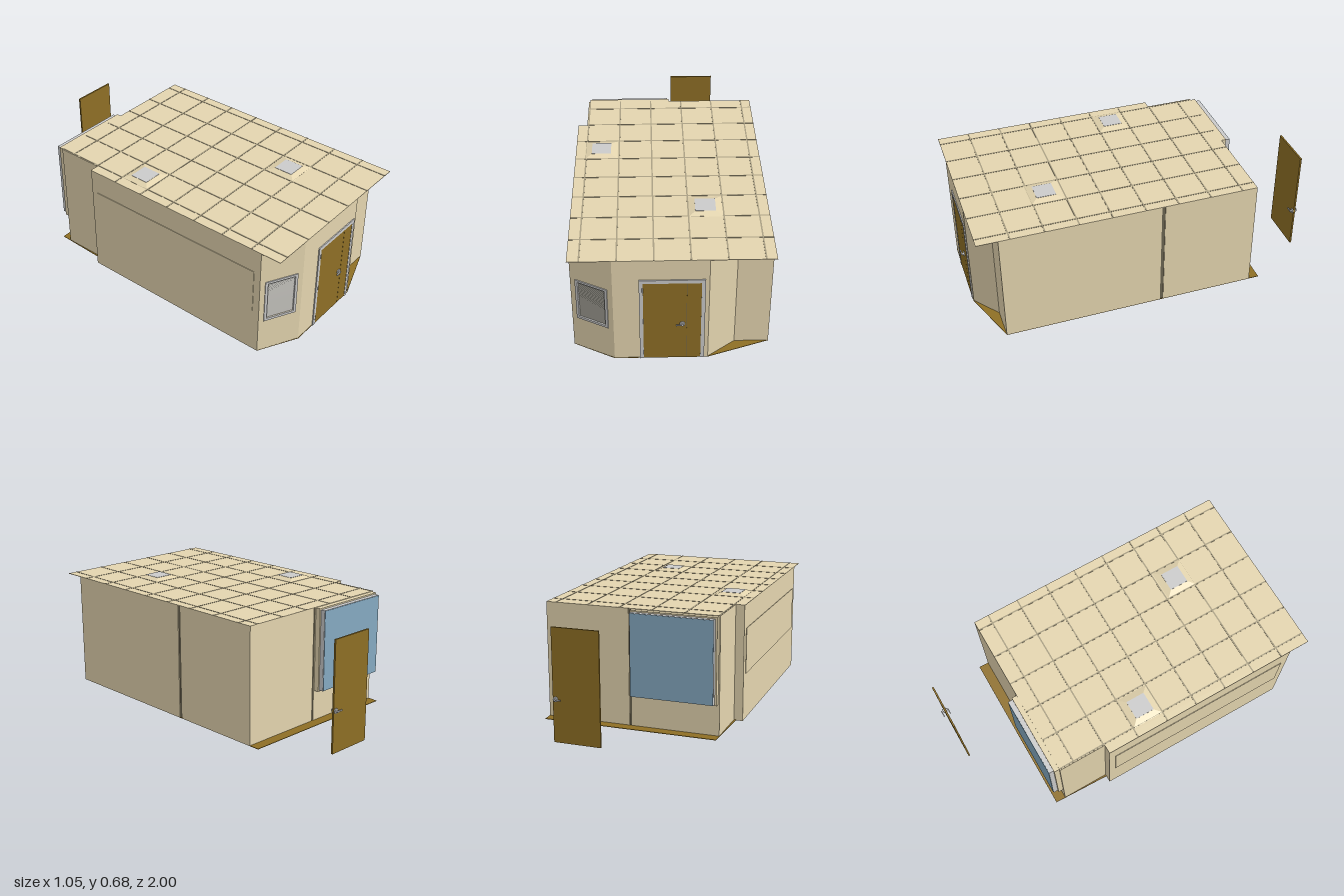
import * as THREE from 'three';

const mat = (color) => new THREE.MeshStandardMaterial({ color, side: THREE.DoubleSide });
const GREY = mat(0xcccccc), BEIGE = mat(0xe4d5af), BROWN = mat(0x8e6f25);
const BLUE = mat(0x85aac2), SEAM = mat(0xaaa084), SLAT = mat(0x74726a), DARK = mat(0x6b6450);
const H = 0.66;

function add(parent, name, geometry, material, x = 0, y = 0, z = 0) {
  const m = new THREE.Mesh(geometry, material);
  m.name = name;
  m.position.set(x, y, z);
  parent.add(m);
  return m;
}

// Box given by its low and high corners
function block(parent, name, material, [x0, y0, z0], [x1, y1, z1]) {
  return add(parent, name, new THREE.BoxGeometry(x1 - x0, y1 - y0, z1 - z0), material,
    (x0 + x1) / 2, (y0 + y1) / 2, (z0 + z1) / 2);
}

const rect = (C, x0, y0, x1, y1) => {
  const s = new C();
  s.moveTo(x0, y0);
  s.lineTo(x1, y0);
  s.lineTo(x1, y1);
  s.lineTo(x0, y1);
  s.closePath();
  return s;
};

// Rectangular plate with an optional rectangular hole
function plate(outer, hole, depth) {
  const s = rect(THREE.Shape, ...outer);
  if (hole) s.holes.push(rect(THREE.Path, ...hole));
  return new THREE.ExtrudeGeometry(s, { depth, bevelEnabled: false });
}

// Flat horizontal slab from an outline of [x, z] points
function slab(parent, name, points, y, depth, material) {
  const s = new THREE.Shape(points.map(([x, z]) => new THREE.Vector2(x, -z)));
  const g = new THREE.ExtrudeGeometry(s, { depth, bevelEnabled: false });
  return add(parent, name, g.rotateX(-Math.PI / 2), material, 0, y, 0);
}

// Wall from p to q, its outer face to the right of the walking direction
function wall(parent, name, p, q, hole) {
  const dx = q[0] - p[0], dz = q[1] - p[1];
  const g = plate([0, 0, Math.hypot(dx, dz), H], hole, 0.006).translate(0, 0, -0.006);
  add(parent, name, g, BEIGE, p[0], 0, p[1]).rotation.y = Math.atan2(-dz, dx);
}

// Round rose, spindle and lever, reaching out along +z
function handle(parent, x, y, z, dir) {
  const h = new THREE.Group();
  h.name = 'doorHandle';
  add(h, 'handleRose', new THREE.CylinderGeometry(0.014, 0.014, 0.006, 20).rotateX(Math.PI / 2), GREY, 0, 0, 0.003);
  add(h, 'handleSpindle', new THREE.CylinderGeometry(0.006, 0.006, 0.016, 12).rotateX(Math.PI / 2), GREY, 0, 0, 0.009);
  add(h, 'handleLever', new THREE.BoxGeometry(0.036, 0.007, 0.006), GREY, -0.015, 0, 0.015);
  h.position.set(x, y, z);
  h.scale.z = dir;
  parent.add(h);
}

// Truncated pyramid air diffuser on the ceiling
function vent(parent, x, z) {
  const hood = new THREE.CylinderGeometry(0.055 * Math.SQRT2, 0.0925 * Math.SQRT2, 0.012, 4, 1);
  hood.rotateY(Math.PI / 4);
  add(parent, 'ventHood', hood.toNonIndexed(), BEIGE, x, 0.669, z).geometry.computeVertexNormals();
  add(parent, 'ventGrille', new THREE.BoxGeometry(0.11, 0.002, 0.11), GREY, x, 0.6755, z);
}

export function createModel() {
  const root = new THREE.Group();
  root.name = 'room';

  // Floor and ceiling
  slab(root, 'floor', [[-0.525, 0.86], [-0.305, 0.977], [0.19, 0.977], [0.525, 0.86],
    [0.525, -0.66], [-0.475, -0.66]], 0, 0.003, BROWN);
  slab(root, 'ceiling', [[-0.527, 0.977], [0.525, 0.977], [0.525, -0.6], [-0.475, -0.6],
    [-0.475, -0.32], [-0.527, -0.32]], H, 0.003, BEIGE);

  // Ceiling grid
  const Y0 = H + 0.002, Y1 = H + 0.0045;
  for (let i = 0; i < 6; i++) {
    const x = -0.466 + i * 0.187;
    block(root, 'ceilingGridBar', SEAM, [x - 0.004, Y0, -0.6], [x + 0.004, Y1, 0.977]);
  }
  for (let i = 0; i < 8; i++) {
    const z = -0.512 + i * 0.187;
    block(root, 'ceilingGridBar', SEAM, [z < -0.32 ? -0.475 : -0.525, Y0, z - 0.004], [0.525, Y1, z + 0.004]);
  }
  vent(root, -0.38, -0.042);
  vent(root, 0.187, 0.525);

  // Outer walls
  wall(root, 'windowWall', [-0.525, 0.86], [-0.305, 0.975], [0.044, 0.22, 0.204, 0.455]);
  wall(root, 'doorWall', [-0.305, 0.975], [0.19, 0.975], [0.155, 0.01, 0.455, 0.517]);
  wall(root, 'angledWall', [0.19, 0.975], [0.34, 0.86]);
  wall(root, 'frontWall', [0.34, 0.86], [0.525, 0.86]);
  wall(root, 'leftWall', [0.525, 0.86], [0.525, -0.04]);
  wall(root, 'leftRearWall', [0.525, -0.06], [0.525, -0.6]);
  wall(root, 'backWall', [0.525, -0.6], [0.04, -0.6]);
  wall(root, 'backWindowWall', [0.025, -0.6], [-0.475, -0.6], [0.03, 0.2, 0.475, 0.64]);
  wall(root, 'rightRearWall', [-0.475, -0.6], [-0.475, -0.32]);
  wall(root, 'stepWall', [-0.475, -0.32], [-0.525, -0.32]);
  wall(root, 'rightWall', [-0.525, -0.32], [-0.525, 0.86]);
  block(root, 'rightWallPanel', BEIGE, [-0.528, 0.265, -0.28], [-0.524, 0.525, 0.82]);

  // Inner partitions, whose ends show in the wall slots
  block(root, 'crossPartition', DARK, [0.025, 0, -0.06], [0.521, H, -0.04]);
  block(root, 'rearPartition', DARK, [0.025, 0, -0.596], [0.04, H, -0.05]);

  // Front door: frame, two leaves, hinges and handles
  const frame = new THREE.Shape([[-0.17, 0], [-0.15, 0], [-0.15, 0.517], [0.15, 0.517], [0.15, 0],
    [0.17, 0], [0.17, 0.538], [-0.17, 0.538]].map(([x, y]) => new THREE.Vector2(x, y)));
  add(root, 'doorFrame', new THREE.ExtrudeGeometry(frame, { depth: 0.014, bevelEnabled: false }), GREY, 0, 0, 0.967);
  block(root, 'wideDoorLeaf', BROWN, [-0.15, 0.004, 0.969], [0.074, 0.517, 0.979]);
  block(root, 'narrowDoorLeaf', BROWN, [0.076, 0.004, 0.969], [0.15, 0.517, 0.979]);
  block(root, 'doorSeam', DARK, [0.073, 0.004, 0.97], [0.077, 0.517, 0.978]);
  for (const y of [0.045, 0.262, 0.472]) {
    add(root, 'doorHinge', new THREE.CylinderGeometry(0.003, 0.003, 0.032, 10), GREY, -0.152, y, 0.98);
  }
  handle(root, 0.053, 0.245, 0.979, 1);
  handle(root, 0.053, 0.245, 0.969, -1);

  // Front window with blinds, set in the angled wall
  const win = new THREE.Group();
  win.name = 'blindWindow';
  win.position.set(-0.415, 0, 0.9175);
  win.rotation.y = -Math.atan2(0.115, 0.22);
  add(win, 'windowFrame', plate([-0.094, 0.205, 0.094, 0.466], [-0.079, 0.22, 0.079, 0.453], 0.012), GREY, 0, 0, -0.007);
  add(win, 'windowGlass', new THREE.PlaneGeometry(0.16, 0.235), BLUE, 0, 0.337, -0.014);
  for (let i = 0; i < 26; i++) {
    add(win, 'blindSlat', new THREE.BoxGeometry(0.158, 0.001, 0.009), SLAT, 0, 0.224 + i * 0.009, -0.006).rotation.x = 0.8;
  }
  root.add(win);

  // Projecting back window
  add(root, 'backWindowSurround', plate([-0.467, 0.18, 0.02, H], [-0.445, 0.2, 0, 0.64], 0.032), BEIGE, 0, 0, -0.63);
  add(root, 'backWindowFrame', plate([-0.457, 0.188, 0.012, 0.652], [-0.44, 0.205, -0.005, 0.635], 0.027), GREY, 0, 0, -0.656);
  block(root, 'backWindowGlass', BLUE, [-0.455, 0.19, -0.659], [0.01, 0.65, -0.655]);

  // Free-standing rear door
  const rear = new THREE.Group();
  rear.name = 'rearDoor';
  block(rear, 'rearDoorLeaf', BROWN, [0.043, 0.008, -0.985], [0.308, 0.63, -0.975]);
  handle(rear, 0.292, 0.245, -0.975, 1);
  handle(rear, 0.292, 0.245, -0.985, -1);
  root.add(rear);

  return root;
}
